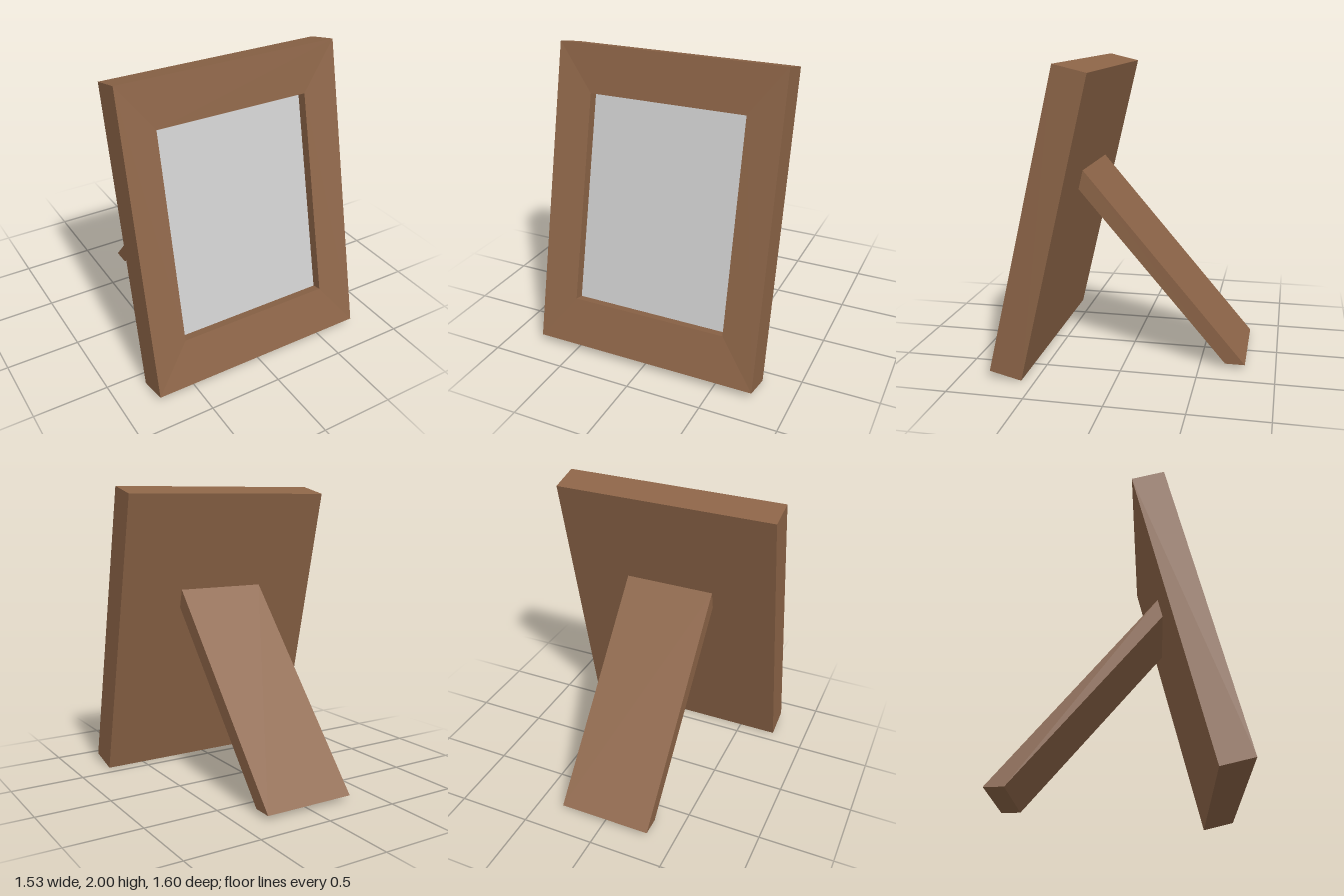
import * as THREE from 'three';

const WOOD = new THREE.MeshStandardMaterial({ color: 0x8c6447 });
const GREY = new THREE.MeshStandardMaterial({ color: 0xcccccc });

const W = 1.53, H = 2.003, DEPTH = 0.216; // outer frame
const OPEN_W = 1.06, OPEN_H = 1.383;      // opening
const PICTURE_Z = -0.086;
const LEAN = Math.atan2(0.46, 1.95);

function named(name, geometry, material) {
  const mesh = new THREE.Mesh(geometry, material);
  mesh.name = name;
  return mesh;
}

// Four corners of a rectangle at depth z, anticlockwise from the front
const rectangle = (w, h, z) =>
  [[-1, -1], [1, -1], [1, 1], [-1, 1]].map(([sx, sy]) => [sx * w / 2, sy * h / 2, z]);

// Flat-sided frame: rectangles joined in order from the closed back to the opening
function frameGeometry(loops) {
  const positions = [];
  const quad = (a, b, c, d) => positions.push(...a, ...b, ...c, ...a, ...c, ...d);
  const [p, q, r, s] = loops[0];
  quad(p, s, r, q);
  for (let i = 0; i + 1 < loops.length; i++) {
    for (let k = 0; k < 4; k++) {
      const n = (k + 1) % 4;
      quad(loops[i][k], loops[i][n], loops[i + 1][n], loops[i + 1][k]);
    }
  }
  const geometry = new THREE.BufferGeometry();
  geometry.setAttribute('position', new THREE.Float32BufferAttribute(positions, 3));
  geometry.computeVertexNormals();
  return geometry;
}

export function createModel() {
  const model = new THREE.Group();
  model.name = 'pictureFrame';

  // Leaning frame, hinged on its front bottom edge
  const leaning = new THREE.Group();
  leaning.name = 'leaningFrame';
  leaning.position.set(0, 0.05, 0.8);
  leaning.rotation.x = -LEAN;
  model.add(leaning);

  // Frame with mitred front sloping gently into the opening
  const frame = named('frame', frameGeometry([
    rectangle(W, H, -DEPTH),
    rectangle(W, H, 0),
    rectangle(OPEN_W, OPEN_H, -0.02),
    rectangle(OPEN_W, OPEN_H, PICTURE_Z),
  ]), WOOD);
  frame.position.y = H / 2;
  leaning.add(frame);

  // Recessed picture panel
  const picture = named('picture', new THREE.PlaneGeometry(OPEN_W, OPEN_H), GREY);
  picture.position.set(0, H / 2, PICTURE_Z);
  leaning.add(picture);

  // Rear stand: side profile (z, y) extruded across the width
  const profile = new THREE.Shape([
    [0.286, 1.298], [-0.8, 0.03], [-0.67, 0.03], [0.314, 1.17],
  ].map(([z, y]) => new THREE.Vector2(z, y)));
  const standWidth = 0.634;
  const standGeometry = new THREE.ExtrudeGeometry(profile, { depth: standWidth, bevelEnabled: false });
  standGeometry.rotateY(-Math.PI / 2).translate(standWidth / 2, 0, 0);
  model.add(named('stand', standGeometry, WOOD));

  return model;
}
